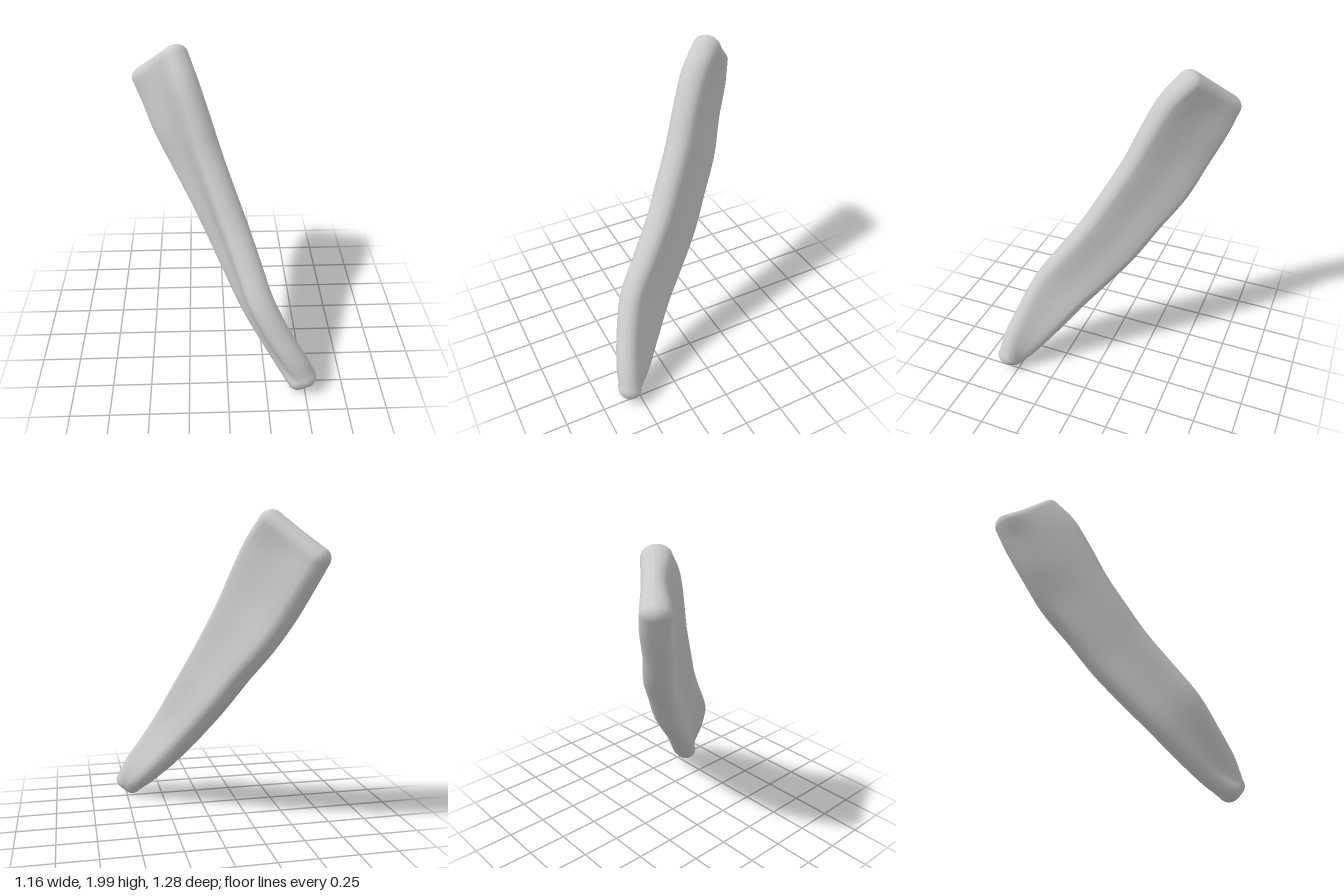
import * as THREE from 'three';

const V = (p) => new THREE.Vector3(...p);

// Centre lines of the rounded front and back edges, from top to bottom.
const FRONT = [
  [-0.29, 1.93, -0.375], [-0.235, 1.8, -0.268], [-0.165, 1.6, -0.172], [-0.1, 1.4, -0.088],
  [-0.025, 1.2, 0.018], [0.055, 1.0, 0.13], [0.135, 0.8, 0.268], [0.215, 0.6, 0.405],
  [0.325, 0.4, 0.49], [0.44, 0.22, 0.55], [0.502, 0.11, 0.565],
];
const BACK = [
  [-0.51, 1.72, -0.57], [-0.455, 1.6, -0.53], [-0.37, 1.4, -0.44], [-0.26, 1.2, -0.35],
  [-0.14, 1.0, -0.215], [-0.03, 0.8, -0.085], [0.07, 0.62, 0.06], [0.17, 0.45, 0.205],
  [0.28, 0.29, 0.335], [0.39, 0.15, 0.46], [0.455, 0.072, 0.55],
];
const AXIS = V([-0.377, 0.8, -0.463]).normalize();
const EDGE = 0.068, HALF_THICK = 0.087, STEPS = 44, CAP = 6, ARC = 8, WAIST = 5;

// One flat oval section: two round edges joined by slightly hollowed faces.
function section(front, back, scale, shift) {
  const f = front.clone().addScaledVector(AXIS, shift);
  const b = back.clone().addScaledVector(AXIS, shift);
  const w = f.clone().sub(b);
  const hollow = Math.min(1, w.length() / 0.3) ** 2;
  w.addScaledVector(AXIS, -w.dot(AXIS)).normalize();
  const n = w.clone().cross(AXIS);
  // The bar slims a little towards its narrow end
  const thick = scale * (HALF_THICK - 0.012 * (1 - hollow));
  const ring = [];
  const arc = (centre, start) => {
    for (let k = 0; k <= ARC; k++) {
      const t = start + (Math.PI * k) / ARC;
      ring.push(centre.clone().addScaledVector(w, scale * EDGE * Math.cos(t)).addScaledVector(n, thick * Math.sin(t)));
    }
  };
  const face = (from, to, side, depth) => {
    for (let k = 1; k <= WAIST; k++) {
      const s = k / (WAIST + 1);
      const r = thick * (1 - depth * hollow * Math.sin(Math.PI * s) ** 2);
      ring.push(from.clone().lerp(to, s).addScaledVector(n, side * r));
    }
  };
  arc(f, -Math.PI / 2);
  face(f, b, 1, 0.28);
  arc(b, Math.PI / 2);
  face(b, f, -1, 0.08);
  return ring;
}

export function createModel() {
  const front = new THREE.CatmullRomCurve3(FRONT.map(V));
  const back = new THREE.CatmullRomCurve3(BACK.map(V));
  const rings = [];
  const add = (t, angle) => rings.push(
    section(front.getPoint(t), back.getPoint(t), Math.cos(angle), EDGE * Math.sin(angle)));

  // Rounded top, long blade, rounded bottom
  for (let k = CAP; k > 0; k--) add(0, (Math.PI / 2) * (k / CAP));
  for (let i = 0; i <= STEPS; i++) add(i / STEPS, 0);
  for (let k = 1; k <= CAP; k++) add(1, (-Math.PI / 2) * (k / CAP));

  const count = rings[0].length, index = [];
  for (let i = 0; i < rings.length - 1; i++) {
    for (let j = 0; j < count; j++) {
      const a = i * count + j, b = i * count + ((j + 1) % count);
      index.push(a, b, a + count, b, b + count, a + count);
    }
  }
  const geometry = new THREE.BufferGeometry().setFromPoints(rings.flat());
  geometry.setIndex(index);
  geometry.computeVertexNormals();

  const blade = new THREE.Mesh(geometry, new THREE.MeshStandardMaterial({ color: 0xcccccc }));
  blade.name = 'taperedBlade';
  const model = new THREE.Group();
  model.name = 'flatTaperedBone';
  model.add(blade);
  return model;
}
